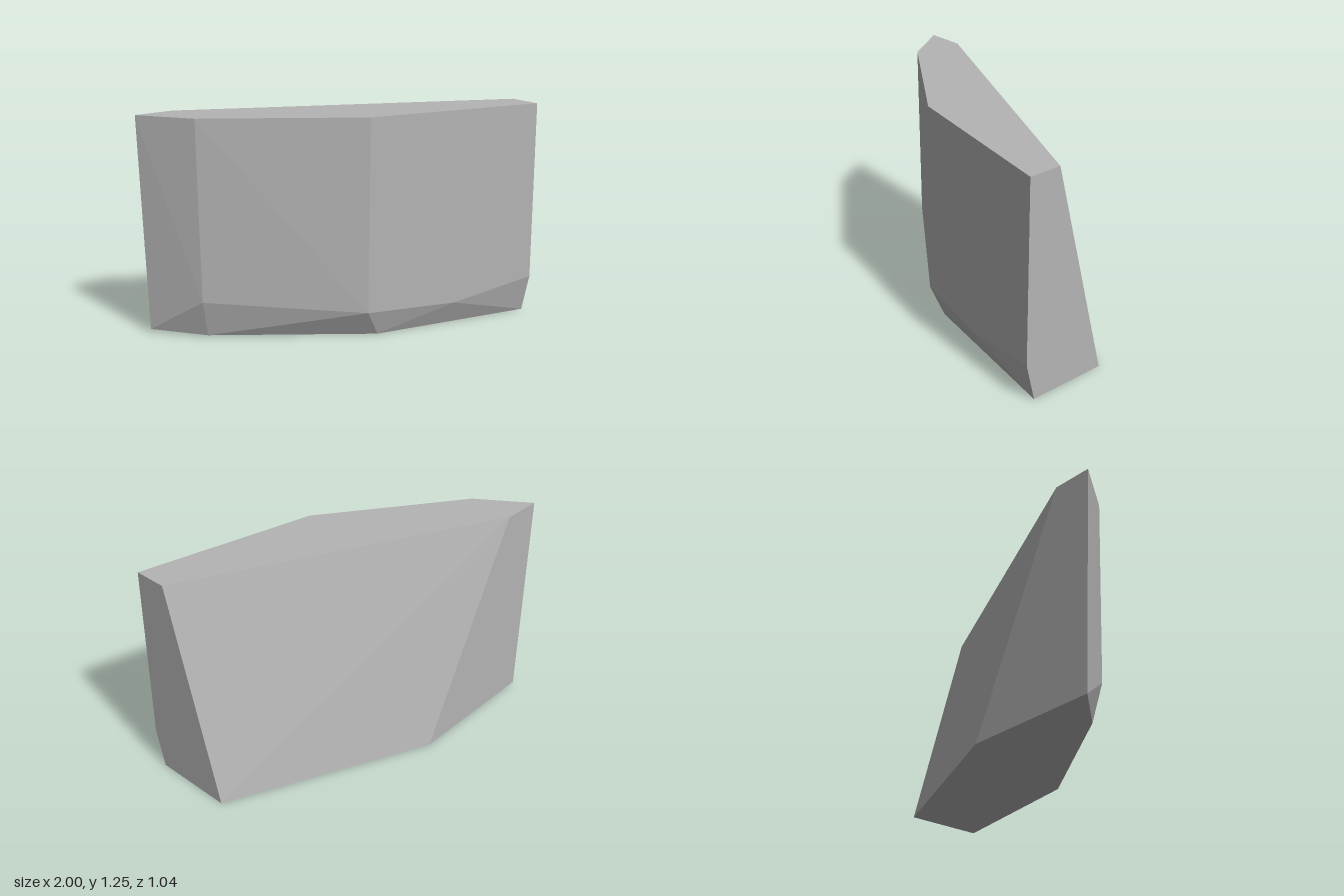
import * as THREE from 'three';
import { ConvexGeometry } from 'three/addons/geometries/ConvexGeometry.js';

// Corner rings of a flat-faced stone slab, as [x, y, z]
const topRing = [
  [-1, 1.25, -0.518], [-0.77, 1.25, -0.518], [1, 1.25, 0.325],
  [1, 1.25, 0.518], [-0.03, 1.25, 0.3], [-0.8, 1.25, -0.23],
];
// Where the front wall breaks into the chipped lower edge
const chippedEdge = [
  [1, 0.22, 0.515], [0.49, 0.135, 0.42], [-0.04, 0.15, 0.3], [-0.785, 0.22, -0.23],
];
const baseRing = [
  [1, 0, 0.46], [1, 0, -0.01], [-0.16, 0, -0.515],
  [-0.96, 0.02, -0.518], [-0.74, 0.01, -0.26], [0.05, 0, 0.27],
];

export function createModel() {
  const group = new THREE.Group();
  group.name = 'stoneSlab';

  const stone = new THREE.MeshStandardMaterial({ color: 0xb4b4b4 });
  stone.name = 'grey stone';

  // The slab is the convex solid around its corners, with flat facets
  const corners = [...topRing, ...chippedEdge, ...baseRing].map((p) => new THREE.Vector3(...p));
  const slab = new THREE.Mesh(new ConvexGeometry(corners), stone);
  slab.name = 'slab';
  group.add(slab);

  return group;
}
